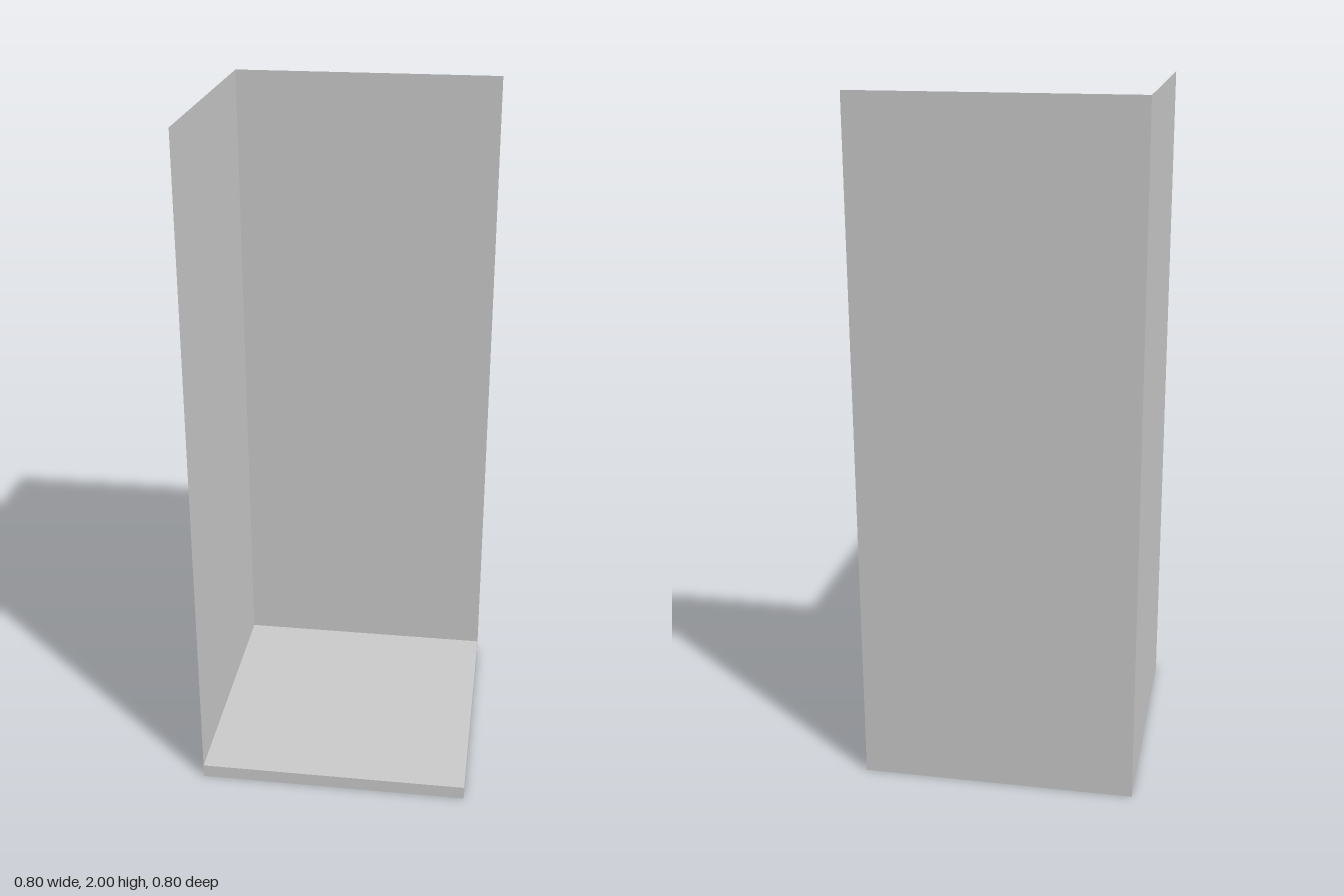
import * as THREE from 'three';

const SIZE = 0.8, HEIGHT = 2, FLOOR = 0.04;

export function createModel() {
  const group = new THREE.Group();
  group.name = 'cornerStall';
  const solid = new THREE.MeshStandardMaterial({ color: 0xcccccc });
  const sheet = new THREE.MeshStandardMaterial({ color: 0xcccccc, side: THREE.DoubleSide });

  // shallow square base
  const base = new THREE.Mesh(new THREE.BoxGeometry(SIZE, FLOOR, SIZE), solid);
  base.name = 'base';
  base.position.y = FLOOR / 2;
  group.add(base);

  // two paper-thin walls meeting at the back corner
  const addWall = (name, x, z, turn) => {
    const wall = new THREE.Mesh(new THREE.PlaneGeometry(SIZE, HEIGHT), sheet);
    wall.name = name;
    wall.position.set(x, HEIGHT / 2, z);
    wall.rotation.y = turn;
    group.add(wall);
  };
  addWall('backWall', 0, -SIZE / 2, 0);
  addWall('rightWall', -SIZE / 2, 0, Math.PI / 2);

  return group;
}
